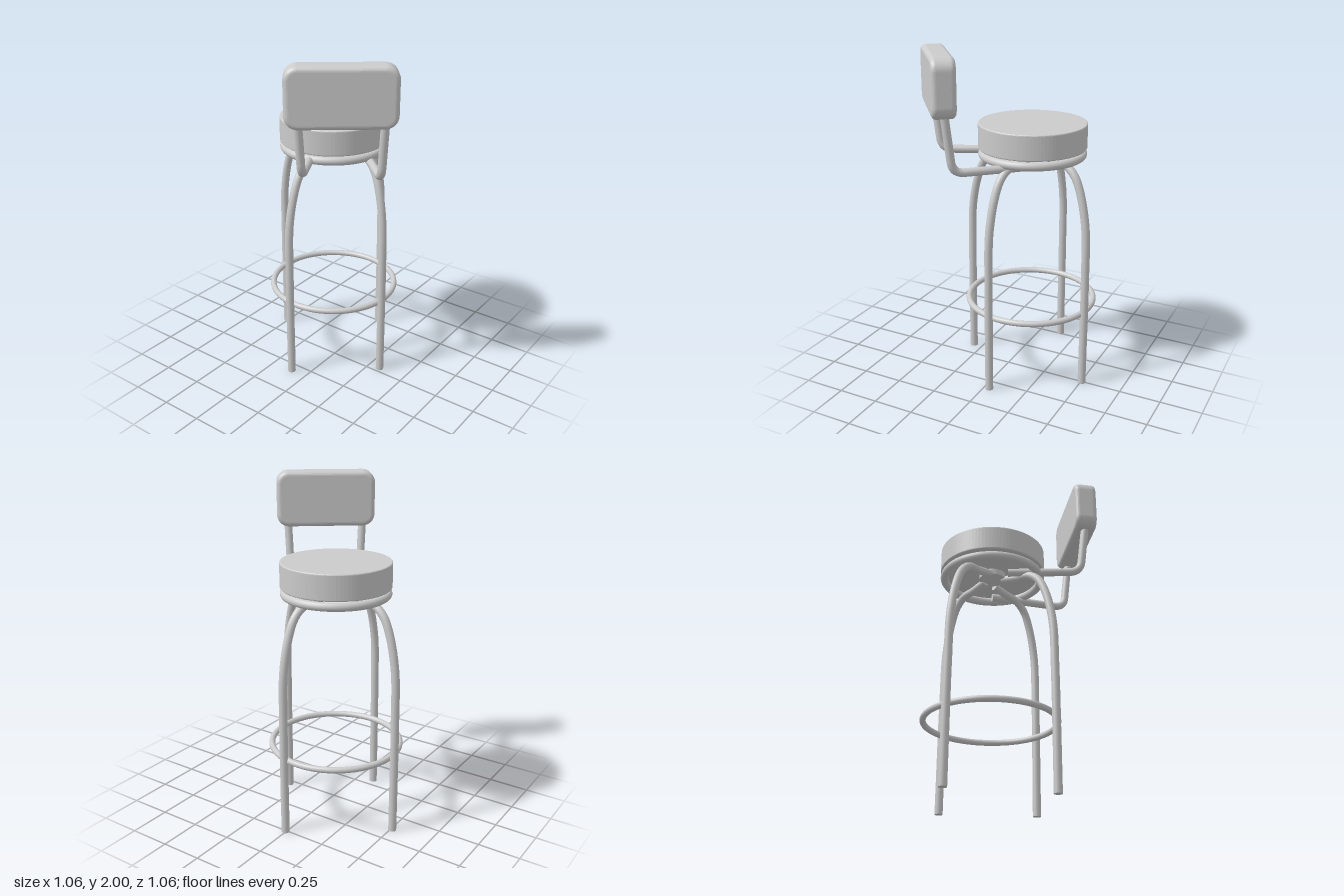
import * as THREE from 'three';

const material = new THREE.MeshStandardMaterial({ color: 0xcccccc, side: THREE.DoubleSide });
const CX = -0.09, CZ = -0.112; // vertical axis of the stool
const v = (x, y, z) => new THREE.Vector3(x, y, z);

function add(parent, name, geometry, x = 0, y = 0, z = 0) {
  const mesh = new THREE.Mesh(geometry, material);
  mesh.name = name;
  mesh.position.set(x, y, z);
  parent.add(mesh);
  return mesh;
}

// Round bar along a curve, with both ends closed
function bar(parent, name, curve, radius) {
  const group = new THREE.Group();
  group.name = name;
  add(group, name + 'Tube', new THREE.TubeGeometry(curve, 64, radius, 16));
  for (const t of [0, 1]) {
    const p = curve.getPointAt(t);
    const cap = add(group, name + 'End', new THREE.CircleGeometry(radius, 16), p.x, p.y, p.z);
    const out = curve.getTangentAt(t).multiplyScalar(t ? 1 : -1);
    cap.quaternion.setFromUnitVectors(v(0, 0, 1), out);
  }
  parent.add(group);
}

function ring(parent, name, radius, tube, y) {
  add(parent, name, new THREE.TorusGeometry(radius, tube, 16, 72).rotateX(Math.PI / 2), CX, y, CZ);
}

function roundedRect(w, h, r) {
  const s = new THREE.Shape(), x = w / 2, y = h / 2, q = Math.PI / 2;
  s.absarc(x - r, y - r, r, 0, q);
  s.absarc(-x + r, y - r, r, q, 2 * q);
  s.absarc(-x + r, -y + r, r, 2 * q, 3 * q);
  s.absarc(x - r, -y + r, r, 3 * q, 4 * q);
  return s;
}

export function createModel() {
  const model = new THREE.Group();
  model.name = 'barStool';

  // Seat cushion with a slightly eased rim
  const seat = new THREE.ExtrudeGeometry(
    new THREE.Shape().absarc(0, 0, 0.31, 0, Math.PI * 2),
    { depth: 0.134, bevelThickness: 0.008, bevelSize: 0.008, bevelSegments: 3, curveSegments: 48 });
  seat.rotateX(-Math.PI / 2);
  add(model, 'seat', seat, CX, 1.428, CZ);
  ring(model, 'seatRing', 0.293, 0.025, 1.386);
  ring(model, 'footRing', 0.384, 0.018, 0.463);
  add(model, 'hub', new THREE.CylinderGeometry(0.08, 0.08, 0.04, 32), CX, 1.405, CZ);

  // Legs: foot and hub end in plan; each bends inward under the seat
  const legs = [
    [0.005, -0.505, -0.08, -0.17],
    [-0.51, -0.14, -0.16, -0.09],
    [0.325, -0.035, 0, -0.15],
    [-0.105, 0.31, -0.05, -0.06],
  ];
  // Fraction of the way in from the foot, and height
  const bend = [[0, 0], [0, 0.35], [0.005, 0.7], [0.03, 1], [0.15, 1.2],
    [0.28, 1.3], [0.45, 1.35], [0.7, 1.365], [1, 1.39]];
  for (const [fx, fz, hx, hz] of legs) {
    const points = bend.map(([t, y]) => v(fx + (hx - fx) * t, y, fz + (hz - fz) * t));
    bar(model, 'leg', new THREE.CatmullRomCurve3(points), 0.024);
  }

  // Back supports: run out from under the seat, then turn up into the backrest
  const supports = [
    [v(0.06, 1.355, -0.2), v(0.41, 1.36, 0.135), v(0.455, 1.8, 0.165)],
    [v(-0.13, 1.38, 0.02), v(0.078, 1.385, 0.405), v(0.09, 1.8, 0.455)],
  ];
  for (const [start, corner, end] of supports) {
    const a = corner.clone().lerp(start, 0.07 / corner.distanceTo(start));
    const b = corner.clone().lerp(end, 0.07 / corner.distanceTo(end));
    const path = new THREE.CurvePath();
    path.add(new THREE.LineCurve3(start, a));
    path.add(new THREE.QuadraticBezierCurve3(a, corner, b));
    path.add(new THREE.LineCurve3(b, end));
    bar(model, 'backSupport', path, 0.024);
  }

  // Padded backrest with rounded corners and edges
  const bevel = 0.028;
  const pad = new THREE.ExtrudeGeometry(roundedRect(0.595 - 2 * bevel, 0.332 - 2 * bevel, 0.045), {
    depth: 0.135 - 2 * bevel, bevelThickness: bevel, bevelSize: bevel, bevelSegments: 6, curveSegments: 10,
  });
  pad.center();
  const back = add(model, 'backrest', pad, 0.264, 1.834, 0.302);
  back.rotation.y = THREE.MathUtils.degToRad(38);

  return model;
}
